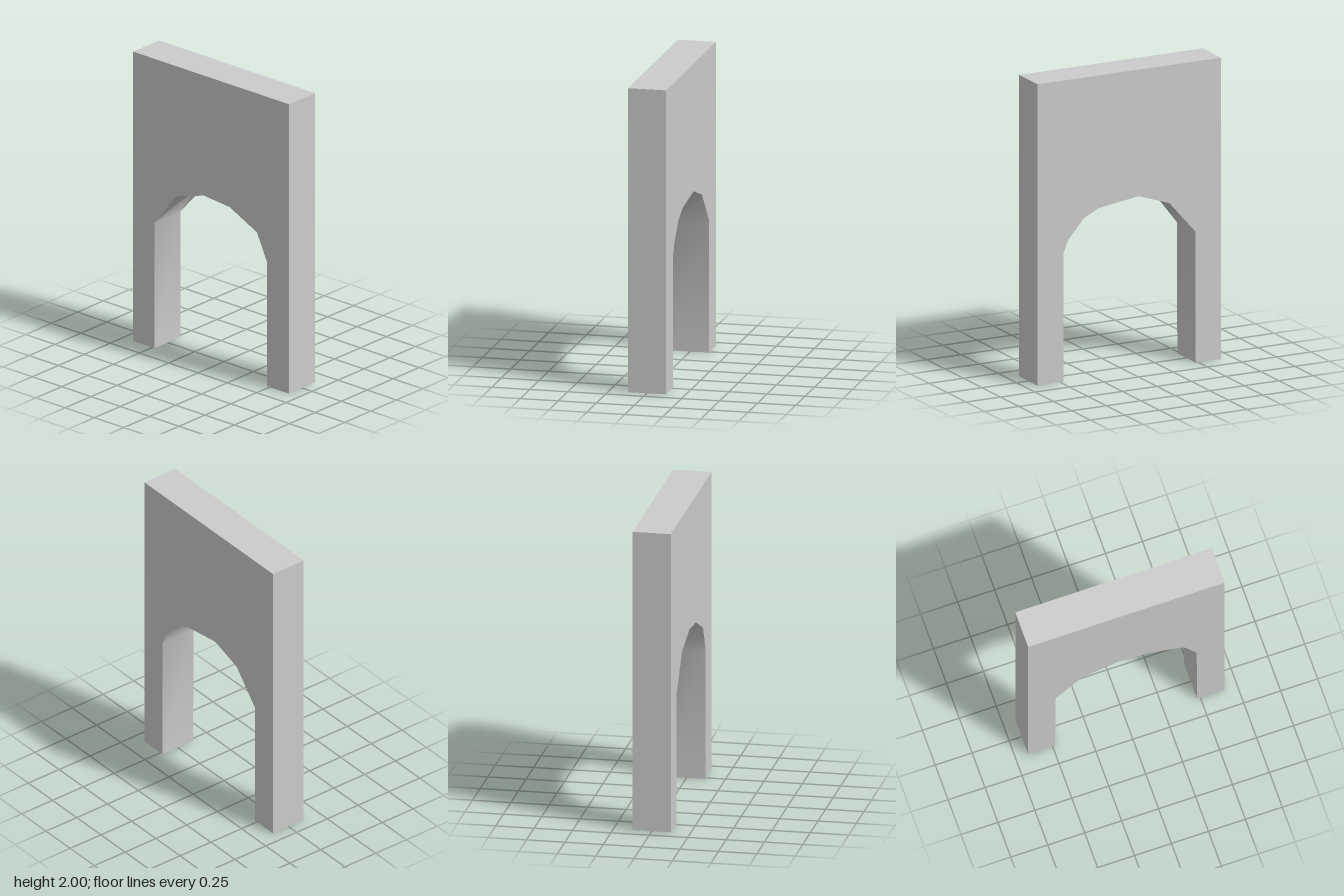
import * as THREE from 'three';
import { toCreasedNormals } from 'three/addons/utils/BufferGeometryUtils.js';

const W = 0.665, H = 2, D = 0.25;

// Hand-hewn arch curve, from the +x springing to the -x one; both faces differ slightly
const frontArch = [[0.475, 0.86], [0.43, 0.96], [0.39, 1.04], [0.25, 1.107], [0.16, 1.15],
  [-0.06, 1.17], [-0.3, 1.1], [-0.39, 0.985], [-0.48, 0.87]];
const backArch = [[0.475, 0.86], [0.44, 0.94], [0.33, 1.065], [0.22, 1.12], [0.08, 1.14],
  [-0.07, 1.16], [-0.29, 1.085], [-0.35, 1.06], [-0.48, 0.87]];

export function createModel() {
  const group = new THREE.Group();
  group.name = 'archway';

  // Wall slab with the doorway cut up from its foot
  const outline = [[-W, 0], [-0.482, 0], ...[...frontArch].reverse(), [0.478, 0], [W, 0], [W, H], [-W, H]];
  const shape = new THREE.Shape(outline.map(([x, y]) => new THREE.Vector2(x, y)));
  const geometry = new THREE.ExtrudeGeometry(shape, { depth: D, bevelEnabled: false });
  geometry.translate(0, 0, -D / 2);

  // Shift the rear rim of the arch to its own curve
  const pos = geometry.attributes.position;
  for (let i = 0; i < pos.count; i++) {
    if (pos.getZ(i) > 0) continue;
    const k = frontArch.findIndex(([x, y]) =>
      Math.abs(x - pos.getX(i)) < 1e-4 && Math.abs(y - pos.getY(i)) < 1e-4);
    if (k >= 0) pos.setXY(i, ...backArch[k]);
  }

  const wall = new THREE.Mesh(
    toCreasedNormals(geometry, 0.6),
    new THREE.MeshStandardMaterial({ color: 0xcccccc })
  );
  wall.name = 'archedWall';
  group.add(wall);
  return group;
}
